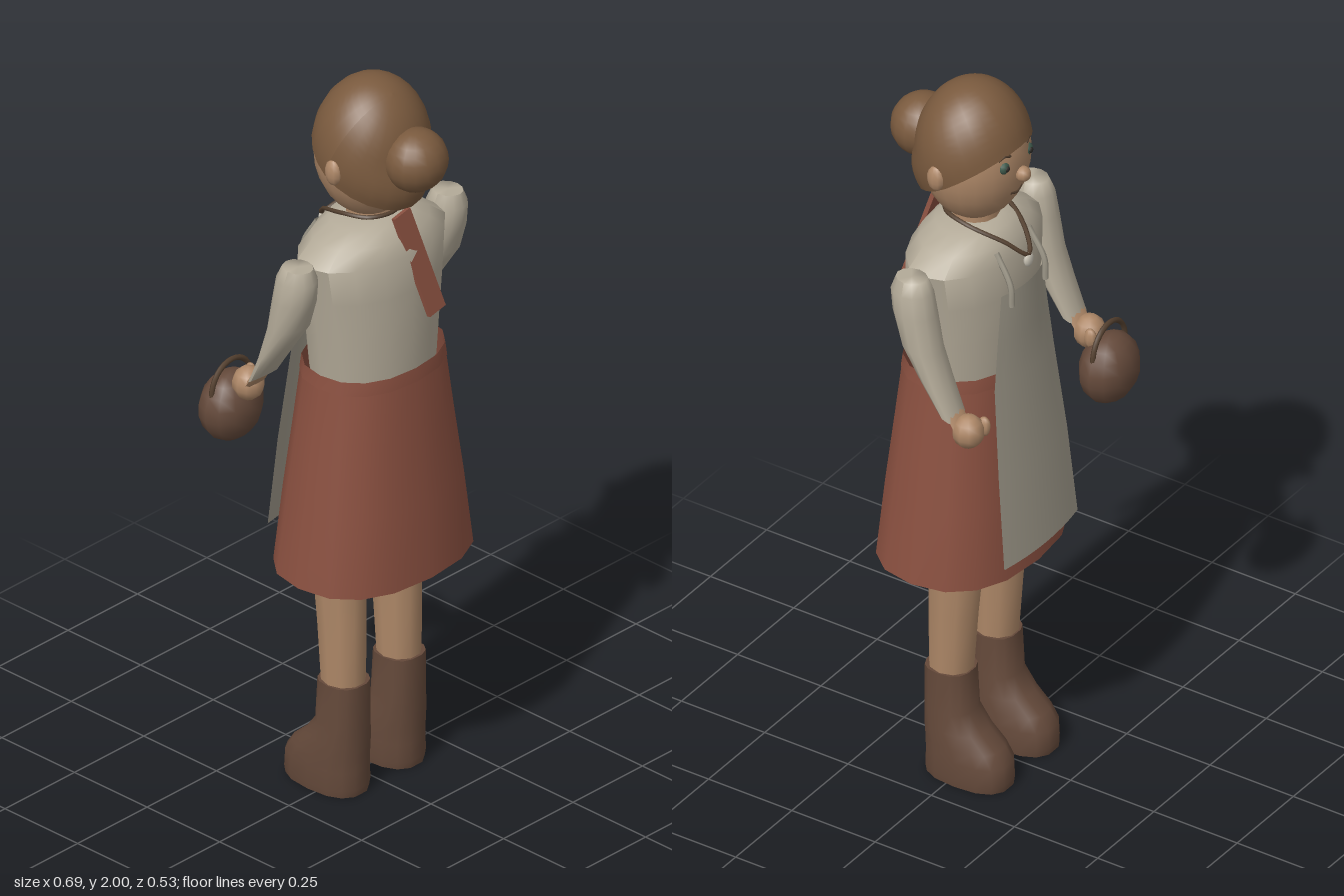
import * as THREE from 'three';
import { toCreasedNormals } from 'three/addons/utils/BufferGeometryUtils.js';

const mat = (color, side = THREE.FrontSide) => new THREE.MeshStandardMaterial({ color, side });
const HAIR = mat(0x7a5a3e, THREE.DoubleSide), SKIN = mat(0xad8767), SHIRT = mat(0xb3aa98);
const SKIRT = mat(0x8a5040, THREE.DoubleSide), BOOT = mat(0x64493a), APRON = mat(0x9f998a, THREE.DoubleSide);
const DARK = mat(0x2c2a26), CORD = mat(0x54402f), EYE = mat(0x3f5a4c), PALE = mat(0xc8c2b4);

// Skin over stacked elliptical rings, bottom to top: [y, centreZ, radiusX, radiusZ, tilt]
function loft(rings, sides, { power = 2, capped = true, crease = 0.9 } = {}) {
  const pos = [], idx = [];
  const bend = v => Math.sign(v) * Math.abs(v) ** (2 / power);
  for (const [y, z, rx, rz, tilt = 0] of rings) {
    for (let i = 0; i < sides; i++) {
      const a = (i / sides) * Math.PI * 2, d = bend(Math.sin(a)) * rz;
      pos.push(bend(Math.cos(a)) * rx, y + d * Math.sin(tilt), z + d * Math.cos(tilt));
    }
  }
  const last = (rings.length - 1) * sides, centre = pos.length / 3;
  for (const r of [rings[0], rings[rings.length - 1]]) pos.push(0, r[0], r[1]);
  for (let i = 0; i < sides; i++) {
    const n = (i + 1) % sides;
    for (let j = 0; j < last; j += sides) {
      idx.push(j + i, j + sides + i, j + n, j + n, j + sides + i, j + sides + n);
    }
    if (capped) idx.push(centre, i, n, centre + 1, last + n, last + i);
  }
  const g = new THREE.BufferGeometry();
  g.setAttribute('position', new THREE.Float32BufferAttribute(pos, 3));
  g.setIndex(idx);
  g.computeVertexNormals();
  return toCreasedNormals(g, crease);
}

export function createModel() {
  const model = new THREE.Group();
  model.name = 'woman';
  const body = new THREE.Group();
  body.name = 'body';
  body.position.x = 0.015;
  model.add(body);

  const add = (name, geo, material, x = 0, y = 0, z = 0) => {
    const m = new THREE.Mesh(geo, material);
    m.name = name;
    m.position.set(x, y, z);
    body.add(m);
    return m;
  };
  const ball = (name, material, x, y, z, rx, ry = rx, rz = rx, seg = 14) =>
    add(name, new THREE.SphereGeometry(1, seg, Math.ceil(seg * 0.7)).scale(rx, ry, rz), material, x, y, z);
  const tube = (name, material, points, r, closed = false) =>
    add(name, new THREE.TubeGeometry(new THREE.CatmullRomCurve3(
      points.map(p => new THREE.Vector3(...p)), closed), points.length * 6, r, 6, closed), material);

  // Head and hair; the hair is a cap tipped towards the back
  ball('head', SKIN, 0, 1.8, 0.025, 0.147, 0.183, 0.137, 20);
  const cap = new THREE.SphereGeometry(1, 24, 16, 0, Math.PI * 2, 0, 1.82).rotateX(0.51);
  const p = cap.attributes.position;
  for (let i = 0; i < p.count; i++) {
    const low = Math.max(0, -p.getY(i)) * Math.max(0, p.getZ(i));
    p.setZ(i, p.getZ(i) + low * 0.45);
  }
  cap.scale(0.155, 0.19, 0.146);
  cap.computeVertexNormals();
  add('hair', cap, HAIR, 0, 1.81, 0.031);
  ball('hairBun', HAIR, 0, 1.82, 0.183, 0.085, 0.083, 0.081, 16);

  // Face
  ball('nose', SKIN, 0, 1.78, -0.117, 0.021, 0.021, 0.021, 10);
  for (const s of [-1, 1]) {
    ball('ear', SKIN, s * 0.15, 1.79, 0.043, 0.018, 0.036, 0.025, 10);
    ball('eye', EYE, s * 0.052, 1.818, -0.096, 0.017, 0.017, 0.012, 10);
    ball('pupil', DARK, s * 0.052, 1.818, -0.106, 0.008, 0.008, 0.005, 8);
    tube('eyebrow', CORD, [[s * 0.035, 1.847, -0.103], [s * 0.053, 1.853, -0.098], [s * 0.07, 1.845, -0.09]], 0.004);
  }
  tube('mouth', CORD, [[-0.025, 1.727, -0.094], [0, 1.721, -0.099], [0.025, 1.727, -0.094]], 0.004);

  // Neck and blouse
  add('neck', new THREE.CylinderGeometry(0.06, 0.065, 0.12, 12), SKIN, 0, 1.61, 0.025);
  add('blouse', loft([
    [1.19, 0.035, 0.18, 0.138], [1.32, 0.033, 0.195, 0.142], [1.44, 0.03, 0.212, 0.145],
    [1.54, 0.03, 0.228, 0.138], [1.58, 0.028, 0.175, 0.12], [1.61, 0.026, 0.115, 0.095],
    [1.62, 0.025, 0.065, 0.068],
  ], 16), SHIRT);

  // Skirt and waistband
  add('skirt', loft([
    [0.64, 0.037, 0.27, 0.202], [0.85, 0.037, 0.243, 0.184],
    [1.05, 0.037, 0.213, 0.164], [1.22, 0.037, 0.191, 0.146],
  ], 16, { power: 2.4, capped: false }), SKIRT);
  add('waistband', loft([[1.185, 0.037, 0.2, 0.153], [1.222, 0.037, 0.195, 0.149]], 16,
    { power: 2.3, capped: false }), SKIRT);

  // Apron: a curved sheet widening from bib to hem
  const rows = [[0.7, 0.163, -0.187], [0.95, 0.152, -0.163], [1.2, 0.132, -0.137],
    [1.33, 0.112, -0.133], [1.46, 0.092, -0.13]];
  const sheet = new THREE.PlaneGeometry(2, 1, 8, rows.length - 1), q = sheet.attributes.position;
  for (let i = 0; i < q.count; i++) {
    const u = q.getX(i), [y, w, z] = rows[Math.floor(i / 9)];
    q.setXYZ(i, u * w, y, z + 0.016 * u * u);
  }
  sheet.computeVertexNormals();
  add('apron', sheet, APRON);
  for (const s of [-1, 1]) {
    tube('apronStrap', APRON, [[s * 0.075, 1.43, -0.134], [s * 0.075, 1.49, -0.13], [s * 0.072, 1.57, -0.085]], 0.008);
  }

  // Necklace with pendant
  tube('necklace', CORD, [
    [0, 1.545, -0.135], [0.045, 1.59, -0.09], [0.08, 1.628, 0], [0.06, 1.635, 0.075],
    [0, 1.635, 0.1], [-0.06, 1.635, 0.075], [-0.08, 1.628, 0], [-0.045, 1.59, -0.09],
  ], 0.006, true);
  ball('pendant', PALE, 0, 1.53, -0.134, 0.017, 0.021, 0.01, 10);

  // Ribbon hanging down the back
  const top = new THREE.Vector3(0, 1.645, 0.132), end = new THREE.Vector3(0.055, 1.37, 0.202);
  const ribbon = add('hairRibbon', new THREE.BoxGeometry(0.058, top.distanceTo(end), 0.012), SKIRT);
  ribbon.position.lerpVectors(top, end, 0.5);
  ribbon.quaternion.setFromUnitVectors(new THREE.Vector3(0, 1, 0), top.clone().sub(end).normalize());

  // Arms, hands, legs and boots
  for (const s of [-1, 1]) {
    const x = s * 0.27;
    add('sleeve', loft([
      [1.205, -0.085, 0.043, 0.037, 0.6], [1.29, -0.04, 0.051, 0.048, 0.5], [1.38, 0.003, 0.056, 0.056, 0.25],
      [1.47, 0.024, 0.055, 0.058, 0.05], [1.53, 0.033, 0.05, 0.056, 0], [1.565, 0.035, 0.036, 0.042, 0],
    ], 12, { crease: 1.2 }), SHIRT, x);
    add('wrist', loft([[1.165, -0.12, 0.033, 0.03, 0.6], [1.23, -0.078, 0.034, 0.03, 0.6]], 10), SKIN, x);
    ball('hand', SKIN, x, 1.165, -0.135, 0.042, 0.046, 0.042, 10);
    ball('thumb', SKIN, x - s * 0.034, 1.17, -0.16, 0.014, 0.028, 0.018, 8);

    add('leg', loft([
      [0.28, 0.031, 0.055, 0.058], [0.48, 0.024, 0.06, 0.066], [0.64, 0.016, 0.066, 0.074], [0.8, 0.016, 0.07, 0.076],
    ], 10), SKIN, s * 0.1);
    add('boot', loft([
      [0, -0.026, 0.072, 0.118], [0.02, -0.026, 0.075, 0.121], [0.07, -0.025, 0.074, 0.119],
      [0.105, -0.013, 0.072, 0.107], [0.145, 0.01, 0.068, 0.085], [0.195, 0.028, 0.063, 0.066],
      [0.312, 0.031, 0.06, 0.063],
    ], 14, { power: 2.5 }), BOOT, s * 0.1);
  }

  // Round basket hanging from one hand
  ball('basket', BOOT, -0.27, 1.08, -0.195, 0.094, 0.096, 0.071, 12);
  add('basketHandle', new THREE.TorusGeometry(0.072, 0.007, 6, 16, Math.PI).scale(1, 1.1, 1), CORD, -0.27, 1.13, -0.193);

  return model;
}
